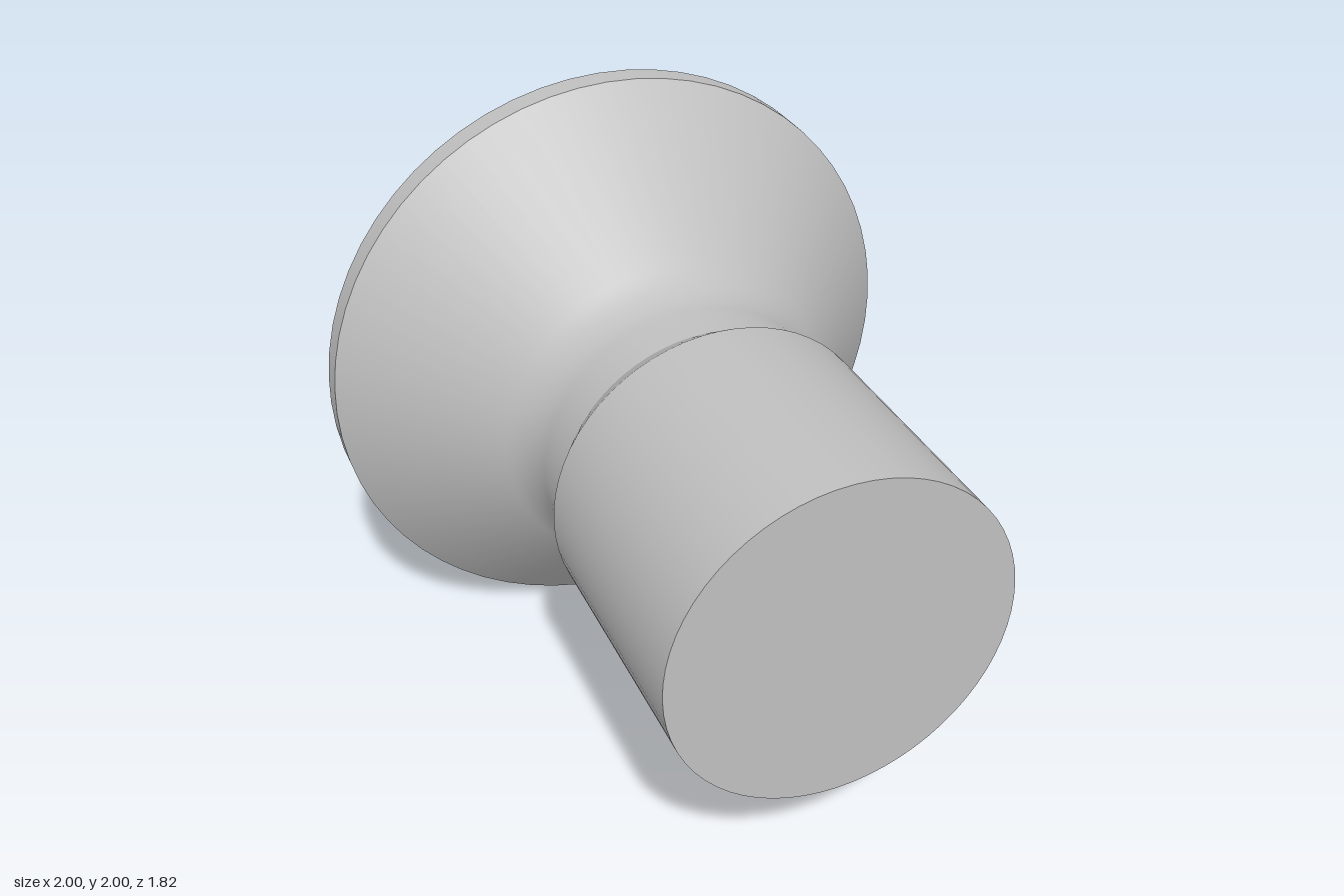
import * as THREE from 'three';
import { toCreasedNormals } from 'three/addons/utils/BufferGeometryUtils.js';

const SEGMENTS = 64;
const END = 0.91;          // half the screw length
const RECESS_R = 0.58;     // reach of the cross arms
const ARM = 0.117;         // half width of an arm
const FILLET = 0.08;       // rounding of the inner corners
const APEX_DEPTH = 0.77;   // depth of the conical recess floor at the axis

// Outline of the cross, counter-clockwise, one quadrant turned four times
function crossOutline() {
  const quadrant = [];
  const tip = Math.asin(ARM / RECESS_R);
  const reach = RECESS_R * Math.cos(tip);
  const inner = ARM + FILLET;
  for (let i = 0; i < 4; i++) {
    const a = tip * i / 4;
    quadrant.push([RECESS_R * Math.cos(a), RECESS_R * Math.sin(a)]);
  }
  for (let i = 0; i < 8; i++) quadrant.push([reach + (inner - reach) * i / 8, ARM]);
  for (let i = 0; i <= 8; i++) {
    const a = Math.PI * (1.5 - i / 16);
    quadrant.push([inner + FILLET * Math.cos(a), inner + FILLET * Math.sin(a)]);
  }
  for (let i = 1; i <= 8; i++) quadrant.push([ARM, inner + (reach - inner) * i / 8]);
  for (let i = 1; i < 4; i++) {
    const a = Math.PI / 2 - tip * (1 - i / 4);
    quadrant.push([RECESS_R * Math.cos(a), RECESS_R * Math.sin(a)]);
  }
  const outline = [];
  for (let q = 0; q < 4; q++) {
    for (const [x, y] of quadrant) {
      outline.push(new THREE.Vector2(x, y).rotateAround(new THREE.Vector2(), q * Math.PI / 2));
    }
  }
  return outline;
}

// Walls and conical floor of the cross
function recessGeometry(outline) {
  const positions = [];
  const depth = p => APEX_DEPTH * Math.max(0, 1 - p.length() / RECESS_R);
  const triangle = (...corners) => corners.forEach(c => positions.push(c.x, c.y, c.z));
  const apex = new THREE.Vector3(0, 0, END - APEX_DEPTH);
  outline.forEach((p, i) => {
    const q = outline[(i + 1) % outline.length];
    const topP = new THREE.Vector3(p.x, p.y, END);
    const topQ = new THREE.Vector3(q.x, q.y, END);
    const lowP = new THREE.Vector3(p.x, p.y, END - depth(p));
    const lowQ = new THREE.Vector3(q.x, q.y, END - depth(q));
    triangle(apex, lowP, lowQ);
    if (depth(p) > 1e-5) triangle(topP, topQ, lowP);
    if (depth(q) > 1e-5) triangle(lowP, topQ, lowQ);
  });
  const geometry = new THREE.BufferGeometry();
  geometry.setAttribute('position', new THREE.Float32BufferAttribute(positions, 3));
  return toCreasedNormals(geometry, 0.5);
}

// Turned part from [radius, z] pairs
function turned(profile) {
  const points = profile.map(([r, z]) => new THREE.Vector2(r, z));
  const geometry = new THREE.LatheGeometry(points, SEGMENTS).rotateX(Math.PI / 2);
  return toCreasedNormals(geometry, 0.5);
}

export function createModel() {
  const steel = new THREE.MeshStandardMaterial({ color: 0xc0c0c0 });
  steel.name = 'steel';
  const model = new THREE.Group();
  model.name = 'countersunkScrew';

  const screw = new THREE.Group();
  screw.name = 'screw';
  screw.position.y = 1;
  screw.rotation.y = Math.PI; // the head points backwards
  model.add(screw);

  const add = (name, geometry) => {
    const mesh = new THREE.Mesh(geometry, steel);
    mesh.name = name;
    screw.add(mesh);
  };

  // Shaft, chamfered neck, fillet, countersunk cone and rim
  const fillet = [];
  const filletR = 0.2535;
  for (let i = 0; i <= 8; i++) {
    const a = Math.PI / 4 * i / 8;
    fillet.push([0.485 + filletR * (1 - Math.cos(a)), 0.2 + filletR * Math.sin(a)]);
  }
  add('shaftAndHead', turned([
    [0, -END], [0.545, -END], [0.545, -0.05], [0.485, 0.05],
    ...fillet, [1, 0.825], [1, END],
  ]));

  // Flat head face with the cross cut out
  const outline = crossOutline();
  const rim = [];
  for (let i = 0; i < SEGMENTS; i++) {
    const a = i / SEGMENTS * Math.PI * 2;
    rim.push(new THREE.Vector2(Math.cos(a), Math.sin(a)));
  }
  const face = new THREE.Shape(rim);
  face.holes.push(new THREE.Path(outline));
  add('headFace', new THREE.ShapeGeometry(face).translate(0, 0, END));

  add('crossRecess', recessGeometry(outline));
  return model;
}
